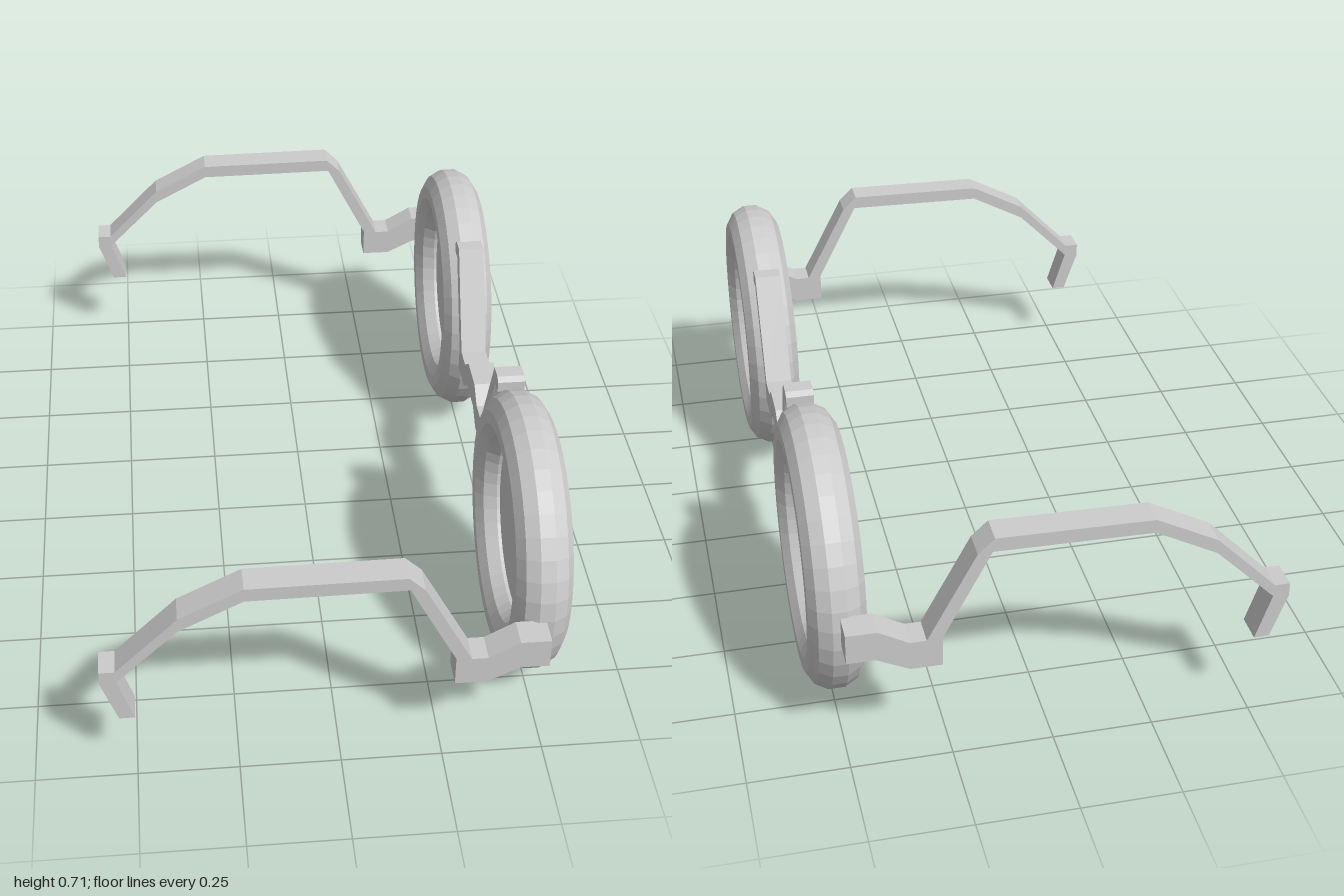
import * as THREE from 'three';

const frameGrey = new THREE.MeshStandardMaterial({ color: 0xcccccc, flatShading: true });
frameGrey.name = 'frameGrey';

const RIM_X = 0.5, RIM_Y = 0.36, RIM_Z = 0.577;

function part(name, geometry) {
  const mesh = new THREE.Mesh(geometry, frameGrey);
  mesh.name = name;
  return mesh;
}

// Flat outline thickened along z, centred on z = 0
function slab(points, depth) {
  const shape = new THREE.Shape(points.map(([x, y]) => new THREE.Vector2(x, y)));
  return new THREE.ExtrudeGeometry(shape, { depth, bevelEnabled: false }).translate(0, 0, -depth / 2);
}

// Ring with a twelve-sided section, its axis along x
function rimGeometry() {
  const profile = [];
  for (let i = 0; i <= 12; i++) {
    const a = ((i % 12) + 0.5) * Math.PI / 6;
    profile.push(new THREE.Vector2(0.289 + 0.0685 * Math.cos(a), 0.0722 * Math.sin(a)));
  }
  return new THREE.LatheGeometry(profile, 40).rotateZ(Math.PI / 2);
}

// Side arm: hinge block, raised bend, long bar and ear hook
function templeGeometry() {
  const geometry = slab([
    [0.5, 0.28], [0.5, 0.36], [0.425, 0.36], [0.35, 0.317], [0.31, 0.317],
    [0.19, 0.545], [0.15, 0.583], [-0.23, 0.578], [-0.385, 0.497], [-0.537, 0.342],
    [-0.575, 0.342], [-0.575, 0.305], [-0.535, 0.19], [-0.497, 0.19], [-0.535, 0.31],
    [-0.385, 0.46], [-0.23, 0.542], [0.155, 0.547], [0.272, 0.32], [0.272, 0.24],
    [0.35, 0.24], [0.43, 0.28],
  ], 0.073);
  // Slight sideways slant toward the tip
  const p = geometry.attributes.position;
  for (let i = 0; i < p.count; i++) p.setZ(i, p.getZ(i) + 0.005 * (p.getX(i) - 0.5));
  geometry.computeVertexNormals();
  return geometry;
}

// Nose bridge with an upright hooked arm on each side
function bridgeGeometry() {
  const half = [
    [0.05, 0.438], [0.1, 0.4], [0.163, 0.4], [0.292, 0.665], [0.335, 0.665],
    [0.349, 0.655], [0.349, 0.627], [0.312, 0.627], [0.195, 0.392],
    [0.195, 0.327], [0.1, 0.327], [0.05, 0.364],
  ];
  const mirrored = half.map(([x, y]) => [-x, y]).reverse();
  return slab([...half, ...mirrored], 0.07).rotateY(Math.PI / 2).translate(RIM_X, 0, 0);
}

export function createModel() {
  const model = new THREE.Group();
  model.name = 'roundGlasses';

  for (const side of [1, -1]) {
    const label = side > 0 ? 'Left' : 'Right';

    const rim = part('rim' + label, rimGeometry());
    rim.position.set(RIM_X, RIM_Y, side * RIM_Z);

    const lens = part('lens' + label, new THREE.CylinderGeometry(0.25, 0.25, 0.02, 40).rotateZ(Math.PI / 2));
    lens.position.copy(rim.position);

    // The arm on the -z side sits a little higher
    const temple = part('temple' + label, templeGeometry());
    temple.position.set(0, side > 0 ? 0 : 0.039, side * 0.96);

    model.add(rim, lens, temple);
  }

  model.add(part('noseBridge', bridgeGeometry()));
  return model;
}
